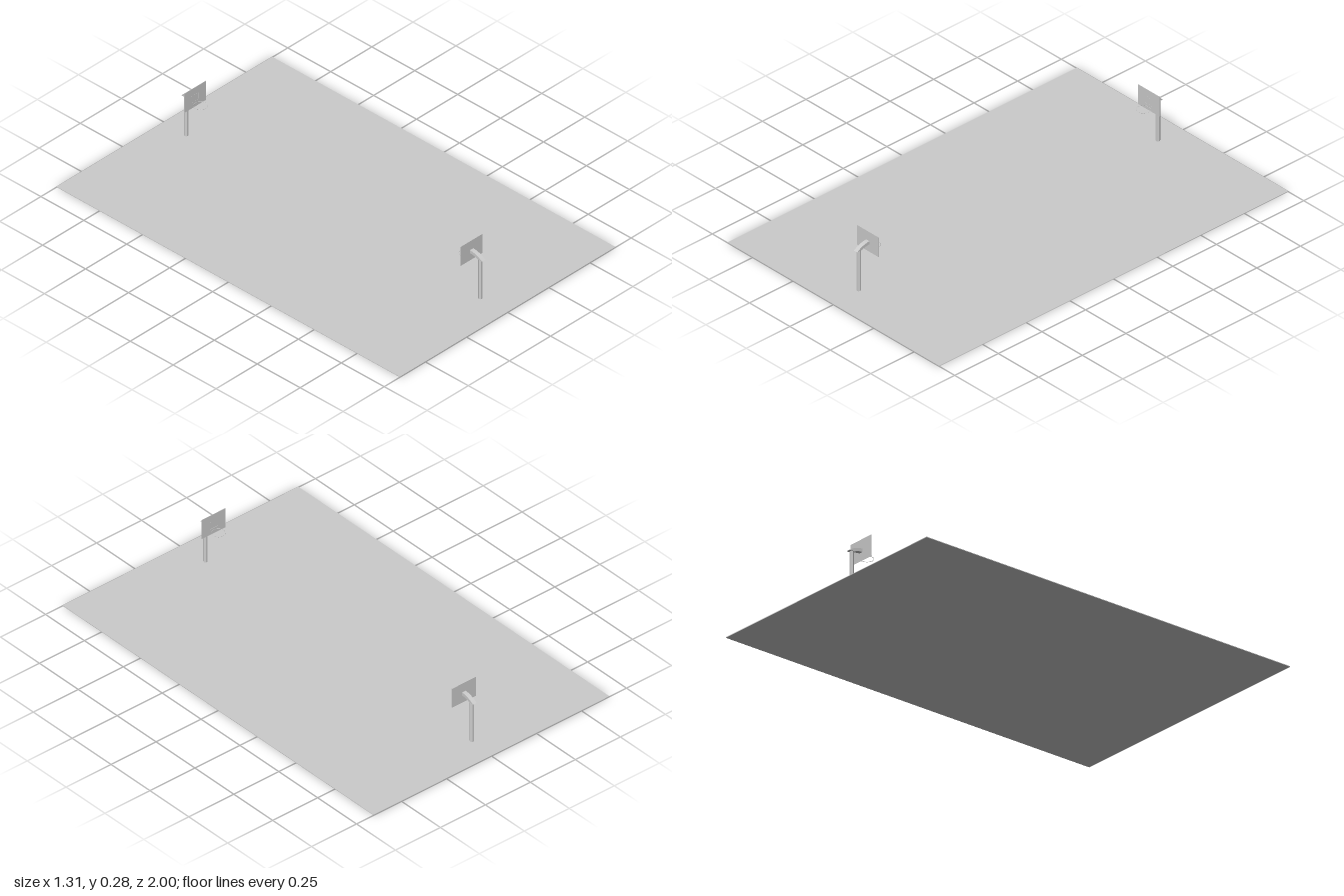
import * as THREE from 'three';

const FLOOR = 0.003, MARK_Y = 0.0034, LINE = 0.003;
const COURT_X = 0.472, COURT_Z = 0.83;

export function createModel() {
  const model = new THREE.Group();
  model.name = 'basketballCourt';
  const mat = new THREE.MeshStandardMaterial({ color: 0xcccccc, flatShading: true });
  const smooth = new THREE.MeshStandardMaterial({ color: 0xcccccc });

  const add = (parent, name, geometry, x = 0, y = 0, z = 0, material = mat) => {
    const mesh = new THREE.Mesh(geometry, material);
    mesh.name = name;
    mesh.position.set(x, y, z);
    parent.add(mesh);
    return mesh;
  };

  // Straight painted line between two floor points
  const strip = (parent, name, x1, z1, x2, z2) => {
    const length = Math.hypot(x2 - x1, z2 - z1);
    const geometry = new THREE.PlaneGeometry(length, LINE).rotateX(-Math.PI / 2);
    const mesh = add(parent, name, geometry, (x1 + x2) / 2, MARK_Y, (z1 + z2) / 2);
    mesh.rotation.y = -Math.atan2(z2 - z1, x2 - x1);
  };

  // Curved painted line, bulging towards -z when it is a half circle
  const arc = (parent, name, radius, z, sweep = Math.PI) => {
    const geometry = new THREE.RingGeometry(radius - LINE / 2, radius + LINE / 2, 40, 1, 0, sweep);
    add(parent, name, geometry.rotateX(-Math.PI / 2), 0, MARK_Y, z);
  };

  // Ground slab
  add(model, 'floor', new THREE.BoxGeometry(1.31, FLOOR, 2), 0, FLOOR / 2, 0);

  // Everything on the slab sits slightly off its centre
  const court = new THREE.Group();
  court.name = 'court';
  court.position.set(-0.007, 0, -0.009);
  model.add(court);

  strip(court, 'centreLine', -COURT_X, 0, COURT_X, 0);
  arc(court, 'centreCircle', 0.18, 0, Math.PI * 2);
  for (const s of [-1, 1]) strip(court, 'sideLine', s * COURT_X, -COURT_Z, s * COURT_X, COURT_Z);

  // Side profile of the bent arm, from pole top to backboard
  const armShape = new THREE.Shape();
  armShape.moveTo(0.804, 0.23);
  armShape.quadraticCurveTo(0.845, 0.228, 0.876, 0.204);
  armShape.lineTo(0.849, 0.204);
  armShape.quadraticCurveTo(0.832, 0.214, 0.804, 0.214);
  armShape.closePath();

  for (const side of [1, -1]) {
    const end = new THREE.Group();
    end.name = side > 0 ? 'frontEnd' : 'backEnd';
    end.rotation.y = side > 0 ? 0 : Math.PI;
    court.add(end);

    // Floor markings of one half
    strip(end, 'baseLine', -COURT_X, COURT_Z, COURT_X, COURT_Z);
    strip(end, 'freeThrowLine', -0.14, 0.475, 0.14, 0.475);
    arc(end, 'freeThrowArc', 0.14, 0.475);
    arc(end, 'longShotArc', 0.425, 0.735);
    for (const s of [-1, 1]) {
      strip(end, 'keyLine', s * 0.14, 0.475, s * 0.19, COURT_Z);
      strip(end, 'longShotLine', s * 0.425, 0.735, s * 0.425, COURT_Z);
    }

    // Hoop stand
    const hoop = new THREE.Group();
    hoop.name = 'hoopStand';
    end.add(hoop);
    const pole = new THREE.CylinderGeometry(0.01, 0.01, 0.205, 6).rotateY(Math.PI / 6);
    add(hoop, 'pole', pole, 0, 0.1045, 0.857);
    const arm = new THREE.ExtrudeGeometry(armShape, { depth: 0.02, bevelEnabled: false, curveSegments: 5 });
    add(hoop, 'arm', arm.rotateY(-Math.PI / 2), 0.01, 0, 0);
    add(hoop, 'backboard', new THREE.BoxGeometry(0.133, 0.098, 0.002), 0, 0.226, 0.805);

    // Target rectangle on the playing face
    for (const s of [-1, 1]) {
      add(hoop, 'targetSide', new THREE.BoxGeometry(0.002, 0.036, 0.0006), s * 0.022, 0.222, 0.8038);
      add(hoop, 'targetEdge', new THREE.BoxGeometry(0.042, 0.002, 0.0006), 0, 0.222 + s * 0.017, 0.8038);
    }

    // Thin wire ring
    const rim = new THREE.TorusGeometry(0.03, 0.0009, 6, 24).rotateX(Math.PI / 2);
    add(hoop, 'rim', rim, 0, 0.195, 0.773, smooth);
  }
  return model;
}
